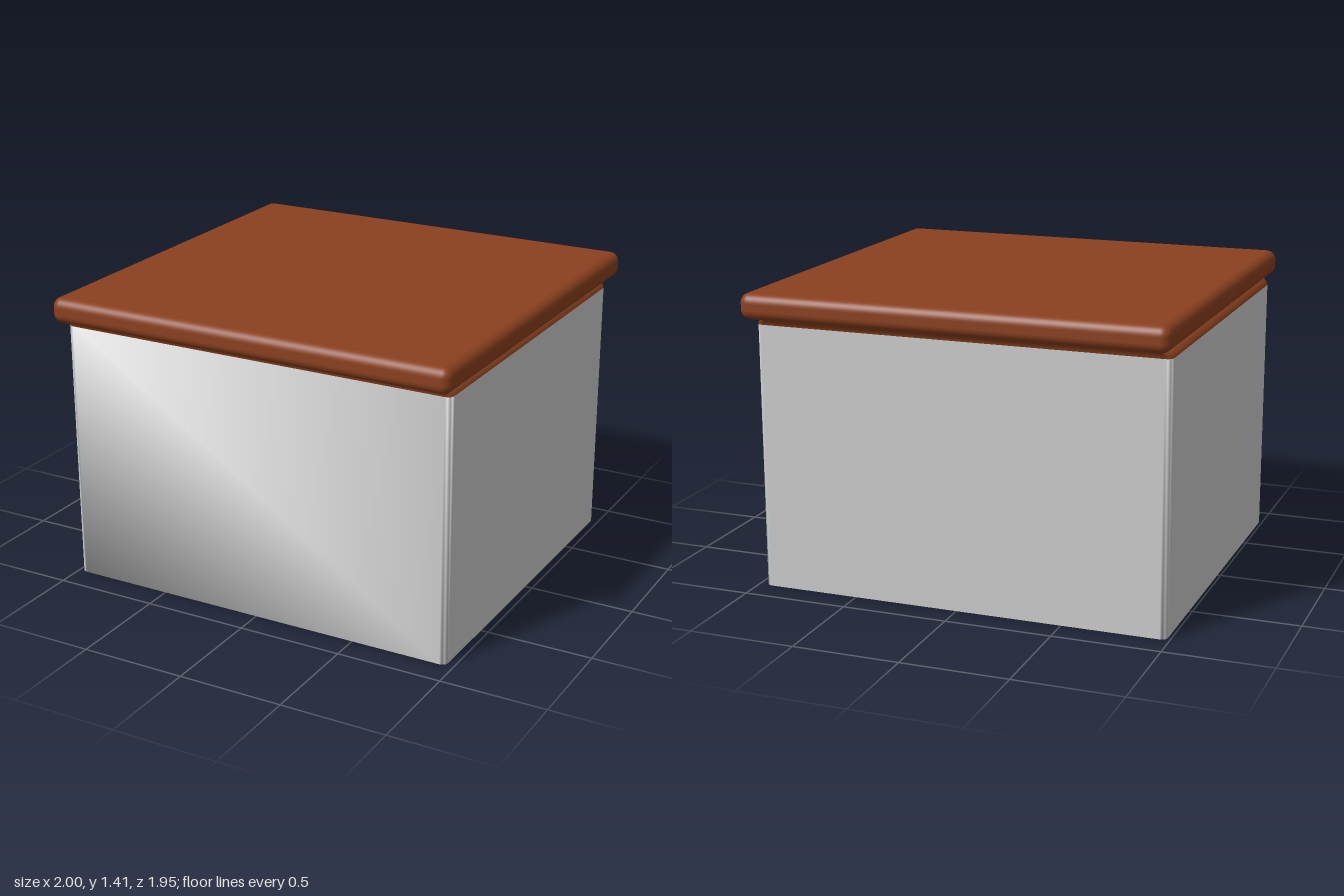
import * as THREE from 'three';
import { mergeVertices } from 'three/addons/utils/BufferGeometryUtils.js';
import { RoundedBoxGeometry } from 'three/addons/geometries/RoundedBoxGeometry.js';

const CORNER_STEPS = 4;

// Rounded rectangle, counter-clockwise, given its half sizes and corner radius
function outline(hx, hz, r) {
  const pts = [];
  for (let c = 0; c < 4; c++) {
    const sx = c === 0 || c === 3 ? 1 : -1;
    const sy = c < 2 ? 1 : -1;
    for (let i = 0; i <= CORNER_STEPS; i++) {
      const a = (c + i / CORNER_STEPS) * Math.PI / 2;
      pts.push(new THREE.Vector2(sx * (hx - r) + r * Math.cos(a), sy * (hz - r) + r * Math.sin(a)));
    }
  }
  return pts;
}

// Skin joining rounded rectangles stacked upwards, each [y, hx, hz]
function loft(sections, r) {
  const pos = [], index = [];
  const n = 4 * (CORNER_STEPS + 1);
  sections.forEach(([y, hx, hz], s) => {
    for (const p of outline(hx, hz, r)) pos.push(p.x, y, -p.y);
    if (s === 0) return;
    for (let i = 0; i < n; i++) {
      const j = (i + 1) % n, lo = (s - 1) * n, hi = s * n;
      index.push(lo + i, lo + j, hi + j, lo + i, hi + j, hi + i);
    }
  });
  const geo = new THREE.BufferGeometry();
  geo.setAttribute('position', new THREE.Float32BufferAttribute(pos, 3));
  geo.setIndex(index);
  geo.computeVertexNormals();
  return geo;
}

export function createModel() {
  const group = new THREE.Group();
  const grey = new THREE.MeshStandardMaterial({ color: 0xcccccc });
  const brown = new THREE.MeshStandardMaterial({ color: 0x8a401e });

  const add = (name, geo, mat, x, y) => {
    const mesh = new THREE.Mesh(geo, mat);
    mesh.name = name;
    mesh.position.set(x, y, 0);
    group.add(mesh);
  };

  // Body: closed block with softly shaded, rounded corners
  let body = new THREE.ExtrudeGeometry(new THREE.Shape(outline(0.975, 0.87, 0.03)), {
    depth: 1.25, bevelEnabled: false,
  });
  body.rotateX(-Math.PI / 2);
  body.deleteAttribute('normal');
  body.deleteAttribute('uv');
  body = mergeVertices(body);
  body.computeVertexNormals();
  add('body', body, grey, -0.01, 0);

  // Moulding: flares out at front and back, rounds in at the ends
  const moulding = loft([
    [1.25, 0.975, 0.87],
    [1.262, 0.97, 0.873],
    [1.276, 0.955, 0.885],
    [1.286, 0.93, 0.9],
    [1.295, 0.9, 0.915],
  ], 0.03);
  add('topMoulding', moulding, brown, -0.01, 0);

  // Top slab with rounded edges
  add('topSlab', new RoundedBoxGeometry(2, 0.12, 1.945, 5, 0.045), brown, 0, 1.348);

  return group;
}
